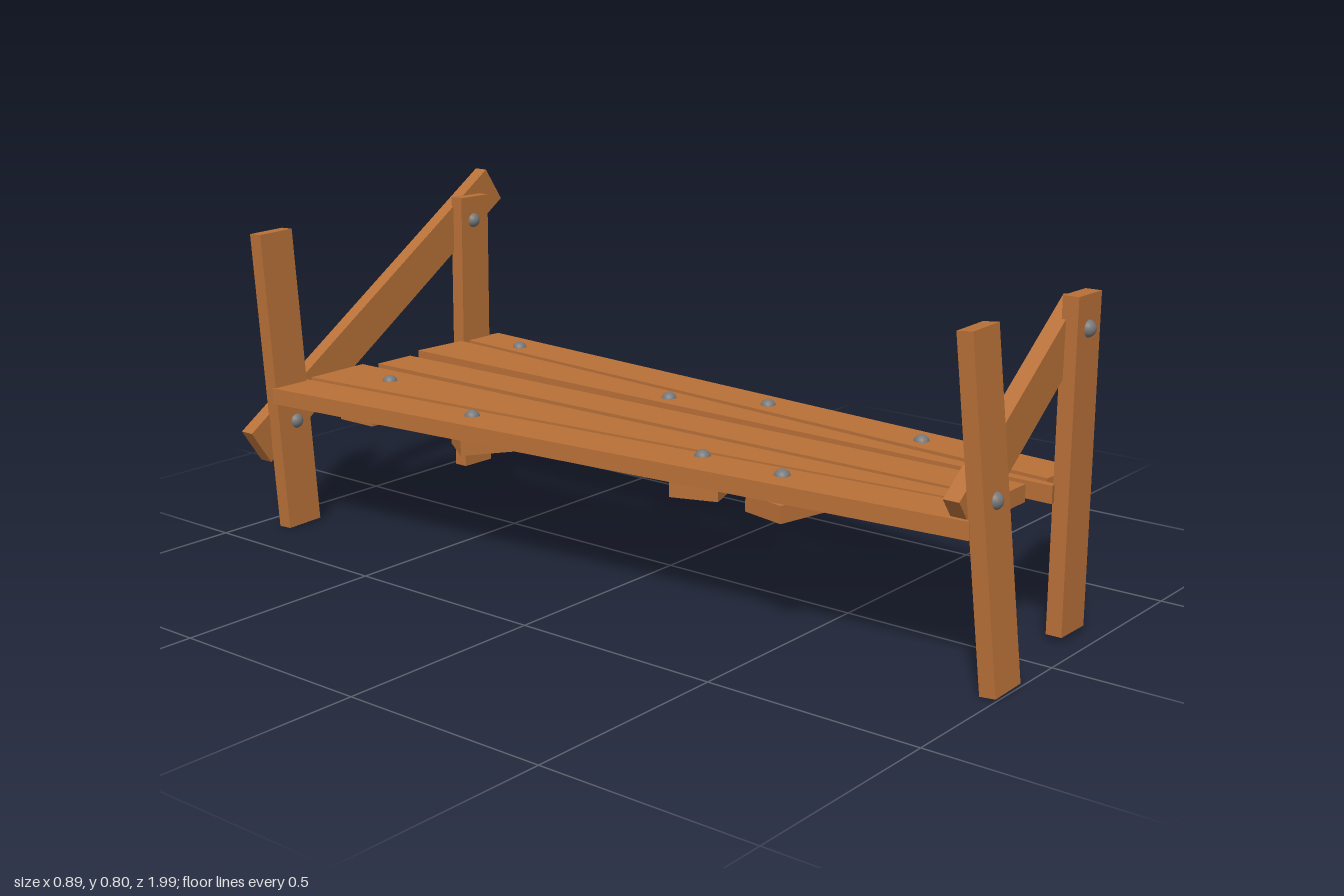
import * as THREE from 'three';

const wood = new THREE.MeshStandardMaterial({ color: 0xb87038 });
const iron = new THREE.MeshStandardMaterial({ color: 0x777777 });
const FACE_Z = new THREE.Vector3(0, 0, 1);
const FACE_Y = new THREE.Vector3(0, 1, 0);

export function createModel() {
  const model = new THREE.Group();
  model.name = 'plankBed';

  const add = (name, geometry, material) => {
    const mesh = new THREE.Mesh(geometry, material);
    mesh.name = name;
    model.add(mesh);
    return mesh;
  };

  // Straight board running from a to b, its broad face turned toward "facing"
  const board = (name, a, b, width, thickness, facing) => {
    const start = new THREE.Vector3(...a), end = new THREE.Vector3(...b);
    const along = end.clone().sub(start);
    const length = along.length();
    along.normalize();
    const side = along.clone().cross(facing).normalize();
    const normal = side.clone().cross(along);
    const mesh = add(name, new THREE.BoxGeometry(width, length, thickness), wood);
    mesh.quaternion.setFromRotationMatrix(new THREE.Matrix4().makeBasis(side, along, normal));
    mesh.position.copy(start).add(end).multiplyScalar(0.5);
  };

  // Board set by its centre, length and angle in a plane
  const centred = (name, c, length, degrees, width, thickness, facing) => {
    const t = THREE.MathUtils.degToRad(degrees);
    const u = Math.cos(t) * length / 2, v = Math.sin(t) * length / 2;
    const d = facing === FACE_Z ? [u, v, 0] : [u, 0, v];
    board(name, c.map((k, i) => k - d[i]), c.map((k, i) => k + d[i]), width, thickness, facing);
  };

  // Tapered plank cut from an x/z outline
  const taperedPlank = (name, outline) => {
    const shape = new THREE.Shape(outline.map(([x, z]) => new THREE.Vector2(x, -z)));
    const geometry = new THREE.ExtrudeGeometry(shape, { depth: 0.039, bevelEnabled: false });
    geometry.rotateX(-Math.PI / 2).translate(0, 0.32, 0);
    add(name, geometry, wood);
  };

  const nailGeometry = new THREE.SphereGeometry(0.019, 20, 14);
  const nail = (name, x, y, z) => add(name, nailGeometry, iron).position.set(x, y, z);

  // Legs, slightly crooked
  board('frontRightLeg', [-0.175, 0.005, 0.98], [-0.19, 0.735, 0.907], 0.098, 0.037, FACE_Z);
  board('frontLeftLeg', [0.181, 0.013, 0.931], [0.19, 0.742, 0.927], 0.098, 0.037, FACE_Z);
  board('backRightLeg', [-0.33, 0.004, -0.92], [-0.348, 0.735, -0.955], 0.098, 0.037, FACE_Z);
  board('backLeftLeg', [0.303, 0.013, -0.937], [0.313, 0.743, -0.937], 0.098, 0.037, FACE_Z);

  // Diagonal end braces
  centred('frontBrace', [0, 0.527, 0.9], 0.56, 36.5, 0.1, 0.037, FACE_Z);
  centred('backBrace', [0, 0.485, -0.967], 1.0, 33.5, 0.1, 0.037, FACE_Z);

  // Deck planks, fanning out toward the back
  board('centrePlank', [0, 0.3395, -0.913], [0, 0.3395, 0.89], 0.112, 0.039, FACE_Y);
  board('outerRightPlank', [-0.337, 0.3395, -0.93], [-0.177, 0.3395, 0.925], 0.113, 0.039, FACE_Y);
  board('outerLeftPlank', [0.337, 0.3395, -0.925], [0.176, 0.3395, 0.91], 0.113, 0.039, FACE_Y);
  taperedPlank('innerRightPlank', [[-0.26, -0.935], [-0.085, -0.94], [-0.07, 0.925], [-0.11, 0.93]]);
  taperedPlank('innerLeftPlank', [[0.112, -0.94], [0.262, -0.93], [0.096, 0.935], [0.078, 0.94]]);

  // Battens under the deck: centre x, centre z, length, angle
  [
    [0.027, -0.755, 0.612, 0],
    [-0.05, -0.235, 0.59, 34],
    [0.02, 0.17, 0.575, -19.5],
    [0, 0.51, 0.53, 12],
  ].forEach(([x, z, length, angle]) =>
    centred('batten', [x, 0.2965, z], length, angle, 0.11, 0.039, FACE_Y));

  // Deck nails, showing above and below
  [
    [-0.16, -0.76], [0.307, -0.76], [-0.27, -0.37], [0.143, -0.12],
    [0.238, 0.103], [-0.196, 0.247], [-0.206, 0.465], [0.2, 0.55],
  ].forEach(([x, z]) => {
    nail('deckNailTop', x, 0.354, z);
    nail('deckNailBottom', x, 0.284, z);
  });

  // Brace nails, showing on both faces: x, y, outer z, inner z
  [
    [-0.183, 0.395, 0.954, 0.887], [0.188, 0.67, 0.943, 0.887],
    [-0.33, 0.266, -0.976, -0.92], [0.307, 0.68, -0.976, -0.922],
  ].forEach(([x, y, outer, inner]) => {
    nail('braceNailOuter', x, y, outer);
    nail('braceNailInner', x, y, inner);
  });

  return model;
}
